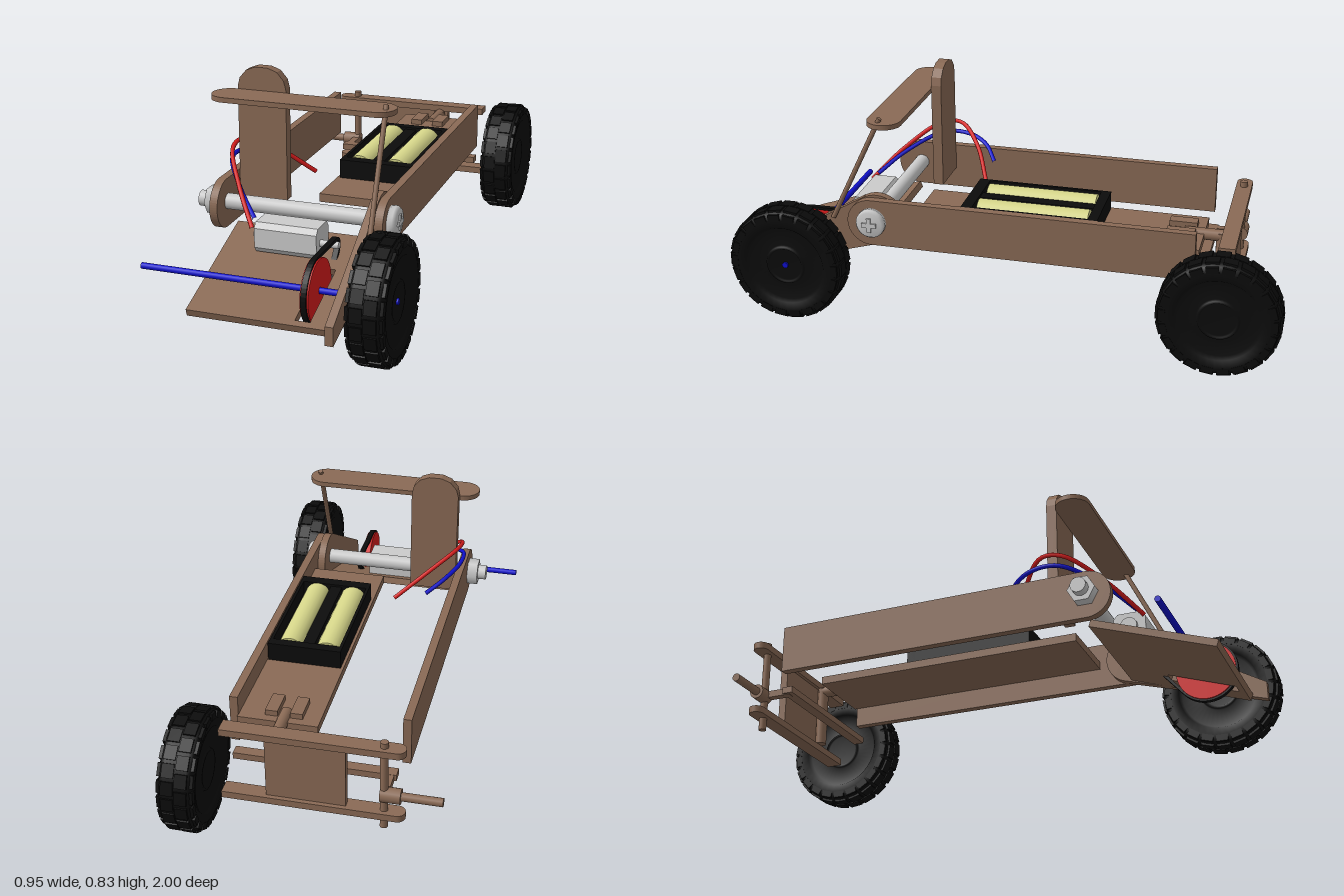
import * as THREE from 'three';

const mat = (color) => new THREE.MeshStandardMaterial({ color });
const wood = mat(0x8a6a55), metal = mat(0xcccccc), black = mat(0x0c0c0c);
const blue = mat(0x1010d0), red = mat(0xd81c1c), cell = mat(0xd6d68a);

export function createModel() {
  const root = new THREE.Group();
  const add = (name, geo, m, x = 0, y = 0, z = 0, parent = root) => {
    const mesh = new THREE.Mesh(geo, m);
    mesh.name = name;
    mesh.position.set(x, y, z);
    parent.add(mesh);
    return mesh;
  };
  // box given by its extents
  const box = (name, m, x0, x1, y0, y1, z0, z1) =>
    add(name, new THREE.BoxGeometry(x1 - x0, y1 - y0, z1 - z0), m, (x0 + x1) / 2, (y0 + y1) / 2, (z0 + z1) / 2);
  // round bar between two points
  const rod = (name, m, a, b, r, sides = 16) => {
    const p = new THREE.Vector3(...a), q = new THREE.Vector3(...b), d = q.clone().sub(p);
    const mesh = add(name, new THREE.CylinderGeometry(r, r, d.length(), sides), m);
    mesh.position.copy(p).add(q).multiplyScalar(0.5);
    mesh.quaternion.setFromUnitVectors(new THREE.Vector3(0, 1, 0), d.normalize());
  };
  const polygon = (pts) => new THREE.Shape(pts.map(p => new THREE.Vector2(...p)));
  const extrude = (shape, depth) =>
    new THREE.ExtrudeGeometry(shape, { depth, bevelEnabled: false, curveSegments: 16 });
  // plate drawn in (z, y), occupying x0..x1
  const sidePlate = (name, shape, x0, x1, m = wood) =>
    add(name, extrude(shape, x1 - x0).rotateY(-Math.PI / 2), m, x1, 0, 0);
  // level flat bar, rounded at its right end and optionally at its left
  const flatBar = (name, x0, x1, y0, y1, z, r, bothRound) => {
    const s = new THREE.Shape();
    if (bothRound) s.absarc(x1 - r, 0, r, -Math.PI / 2, Math.PI / 2);
    else s.moveTo(x1, -r).lineTo(x1, r);
    s.absarc(x0 + r, 0, r, Math.PI / 2, Math.PI * 1.5);
    add(name, extrude(s, y1 - y0).rotateX(Math.PI / 2), wood, 0, y1, z);
  };

  // side rails with a rounded front end
  const rail = new THREE.Shape();
  rail.moveTo(-0.68, 0.28);
  rail.lineTo(0.495, 0.28);
  rail.absarc(0.495, 0.3675, 0.0875, -Math.PI / 2, Math.PI / 2);
  rail.lineTo(-0.68, 0.455);
  sidePlate('leftRail', rail, 0.278, 0.307);
  sidePlate('rightRail', rail, -0.315, -0.286);

  // deck
  box('deck', wood, 0, 0.28, 0.355, 0.385, -0.69, 0.35);

  // battery holder with two cells
  box('batteryHolderFloor', black, 0.01, 0.275, 0.385, 0.4, -0.33, 0.165);
  for (const [a, b, top] of [[0.01, 0.021, 0.453], [0.264, 0.275, 0.453], [0.115, 0.158, 0.445]])
    box('batteryHolderSide', black, a, b, 0.385, top, -0.33, 0.165);
  for (const [a, b] of [[-0.33, -0.295], [0.125, 0.165]])
    box('batteryHolderEnd', black, 0.01, 0.275, 0.385, 0.453, a, b);
  for (const [x, s] of [[0.068, 1], [0.205, -1]]) {
    rod('batteryCell', cell, [x, 0.412, -0.29], [x, 0.412, 0.115], 0.047, 20);
    const z = s > 0 ? 0.115 : -0.29;
    rod('batteryNub', cell, [x, 0.412, z], [x, 0.412, z + s * 0.009], 0.014);
  }

  // cross bolt with nut and cross-marked head
  rod('crossBolt', metal, [-0.386, 0.372, 0.49], [0.31, 0.372, 0.49], 0.028, 24);
  rod('hexNut', metal, [-0.355, 0.372, 0.49], [-0.315, 0.372, 0.49], 0.05, 6);
  const head = new THREE.LatheGeometry([[0, 0], [0.054, 0], [0.054, 0.02], [0.046, 0.031], [0, 0.033]]
    .map(p => new THREE.Vector2(...p)), 28).rotateZ(-Math.PI / 2);
  add('boltHead', head, metal, 0.306, 0.372, 0.49);
  const cross = [[0.027, 0.008], [0.008, 0.008], [0.008, 0.027]];
  const quarter = (i) => cross.map(([z, y]) => [[z, y], [-y, z], [-z, -y], [y, -z]][i]);
  sidePlate('boltCross', polygon([0, 1, 2, 3].flatMap(quarter)), 0.33, 0.344, metal).position.set(0.344, 0.372, 0.49);

  // sloping front board, slotted for the drive pulley
  const board = polygon([[-0.25, 0], [0.25, 0], [0.25, 0.46], [-0.25, 0.46]]);
  board.holes.push(polygon([[0.12, 0.18], [0.12, 0.435], [0.172, 0.435], [0.172, 0.18]]));
  add('frontBoard', extrude(board, 0.026), wood, 0, 0.302, 0.488).rotation.x = Math.PI / 2 + 0.335;

  // pivoting side bracket that carries the front axle
  const bracket = new THREE.Shape();
  bracket.moveTo(0.975, 0.125);
  bracket.lineTo(0.975, 0.19);
  bracket.lineTo(0.53, 0.452);
  bracket.absarc(0.48, 0.37, 0.095, 1.03, 4.35);
  sidePlate('frontBracket', bracket, 0.249, 0.277);

  // front axle, pulley and motor
  rod('frontAxle', blue, [-0.475, 0.22, 0.785], [0.43, 0.22, 0.785], 0.011);
  rod('pulley', red, [0.134, 0.22, 0.785], [0.163, 0.22, 0.785], 0.108, 40);
  const can = polygon([[0.042, -0.053], [0.058, -0.034], [0.058, 0.034], [0.042, 0.053],
    [-0.042, 0.053], [-0.058, 0.034], [-0.058, -0.034], [-0.042, -0.053]]);
  sidePlate('motor', can, -0.123, 0.099, metal).position.set(0.099, 0.313, 0.588);
  rod('motorCap', metal, [-0.137, 0.313, 0.588], [-0.12, 0.313, 0.588], 0.03);
  rod('motorShaft', metal, [0.09, 0.308, 0.605], [0.165, 0.308, 0.605], 0.012);

  // drive belt round pulley and motor shaft
  const beltLoop = (big, small) => [
    [0.785, 0.22, big, -2.42, 1.55], [0.605, 0.302, small, 1.55, 3.86]];
  const belt = new THREE.Shape(), beltHole = new THREE.Path();
  for (const [z, y, r, a, b] of beltLoop(0.115, 0.033)) belt.absarc(z, y, r, a, b);
  for (const [z, y, r, a, b] of beltLoop(0.105, 0.022)) beltHole.absarc(z, y, r, a, b);
  belt.holes.push(beltHole);
  sidePlate('driveBelt', belt, 0.139, 0.158, black);

  // seat back with faceted rounded top
  const seat = polygon([[-0.284, 0.36], [-0.106, 0.36], [-0.106, 0.76], [-0.114, 0.79], [-0.138, 0.818],
    [-0.172, 0.831], [-0.218, 0.831], [-0.252, 0.818], [-0.276, 0.79], [-0.284, 0.76]]);
  add('seatBack', extrude(seat, 0.038), wood, 0, 0, 0.348);

  // handle lever and its push rod
  flatBar('handleLever', -0.35, 0.31, 0.731, 0.749, 0.448, 0.062, true);
  rod('pushRod', wood, [0.277, 0.762, 0.455], [0.285, 0.365, 0.645], 0.009, 10);

  // motor wires
  const wire = (name, m, pts) => add(name, new THREE.TubeGeometry(
    new THREE.CatmullRomCurve3(pts.map(p => new THREE.Vector3(...p))), 40, 0.008, 8), m);
  wire('redWire', red, [[-0.13, 0.345, 0.645], [-0.22, 0.45, 0.54], [-0.298, 0.54, 0.41], [-0.29, 0.552, 0.325], [-0.2, 0.495, 0.235], [-0.08, 0.4, 0.168]]);
  wire('blueWire', blue, [[-0.13, 0.37, 0.62], [-0.22, 0.44, 0.53], [-0.305, 0.5, 0.4], [-0.305, 0.502, 0.3], [-0.265, 0.48, 0.22], [-0.2, 0.435, 0.168]]);

  // rear steering frame: plate between two crossbars, joined to the deck by a post and arm
  box('rearPlate', wood, -0.12, 0.155, 0.15, 0.4, -0.8, -0.772);
  flatBar('upperCrossbar', -0.32, 0.305, 0.39, 0.415, -0.787, 0.029, false);
  flatBar('lowerCrossbar', -0.32, 0.307, 0.135, 0.16, -0.787, 0.029, false);
  rod('rearPost', wood, [0.125, 0.16, -0.752], [0.125, 0.39, -0.752], 0.021);
  rod('rearArm', wood, [0.125, 0.378, -0.76], [0.125, 0.378, -0.62], 0.021);
  for (const x of [0.06, 0.147]) box('rearArmLug', wood, x, x + 0.043, 0.38, 0.405, -0.66, -0.56);

  // steering stub, kingpin and tie rod
  rod('kingpin', wood, [-0.247, 0.09, -0.787], [-0.247, 0.435, -0.787], 0.014);
  rod('stubHub', wood, [-0.305, 0.222, -0.787], [-0.235, 0.222, -0.787], 0.027);
  rod('stubAxle', wood, [-0.445, 0.222, -0.787], [-0.3, 0.222, -0.787], 0.015);
  box('steeringArm', wood, -0.262, -0.234, 0.21, 0.235, -0.787, -0.675);
  box('tieRod', wood, -0.27, 0.3, 0.212, 0.236, -0.698, -0.658);

  // wheels: stepped faces, rounded shoulders and shallow tread blocks
  const face = [[0, 0.045], [0.06, 0.045], [0.064, 0.05], [0.072, 0.05], [0.076, 0.042], [0.14, 0.042], [0.15, 0.056], [0.182, 0.062], [0.202, 0.053], [0.211, 0.038]];
  const profile = [...face.map(([r, w]) => [r, -w]), ...face.slice().reverse()].map(p => new THREE.Vector2(...p));
  const tyre = new THREE.LatheGeometry(profile, 40).rotateZ(-Math.PI / 2);
  const lug = new THREE.BoxGeometry(0.042, 0.014, 0.048);
  const shoulder = new THREE.BoxGeometry(0.012, 0.024, 0.044);
  for (const [name, x, z] of [['frontWheel', 0.378, 0.785], ['rearWheel', 0.408, -0.785]]) {
    const wheel = new THREE.Group();
    wheel.name = name;
    wheel.position.set(x, 0.22, z);
    add('tyre', tyre, black, 0, 0, 0, wheel);
    for (let i = 0; i < 44; i++) {
      const a = i / 44 * Math.PI * 2, side = i % 2 ? 1 : -1;
      add('treadBlock', lug, black, side * 0.023, Math.cos(a) * 0.2075, Math.sin(a) * 0.2075, wheel).rotation.x = a;
      add('shoulderBlock', shoulder, black, side * 0.0565, Math.cos(a) * 0.19, Math.sin(a) * 0.19, wheel).rotation.x = a;
    }
    root.add(wheel);
  }
  return root;
}
